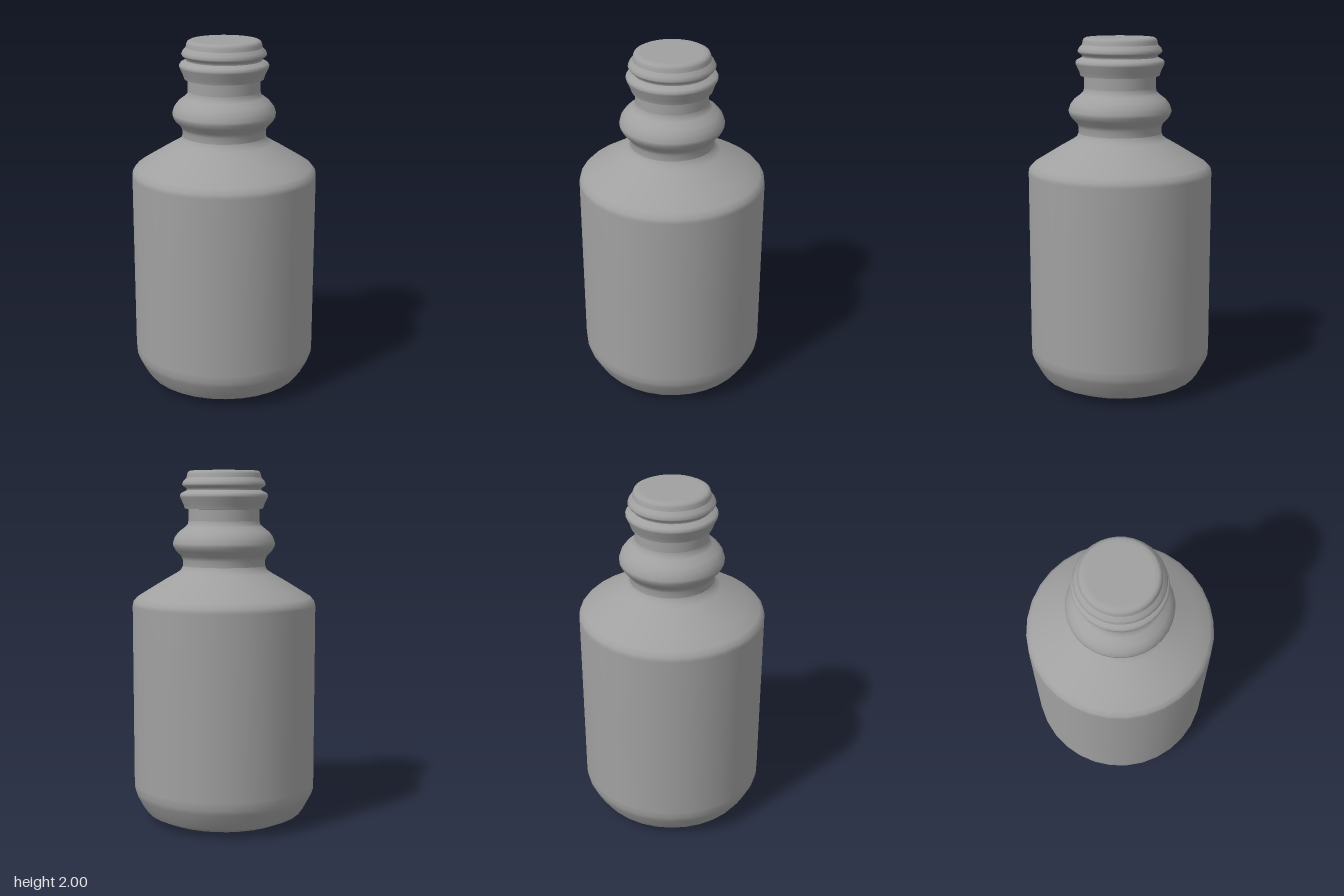
import * as THREE from 'three';

const SIDES = 32;

export function createModel() {
  const group = new THREE.Group();
  const grey = new THREE.MeshStandardMaterial({ color: 0xa0a0a0 });
  grey.name = 'grey';

  // Turn a [radius, height] profile, listed from bottom to top
  const turn = (name, profile) => {
    const points = profile.map(([r, y]) => new THREE.Vector2(r, y));
    const mesh = new THREE.Mesh(new THREE.LatheGeometry(points, SIDES), grey);
    mesh.name = name;
    group.add(mesh);
  };

  // Flat base and its chamfered edge
  turn('base', [[0, 0], [0.26, 0.003], [0.38, 0.013], [0.45, 0.045]]);
  turn('baseEdge', [[0.45, 0.045], [0.475, 0.08], [0.51, 0.145], [0.52, 0.175], [0.522, 0.21]]);

  // Straight wall, rounded into the sloping shoulder
  turn('body', [[0.522, 0.21], [0.522, 0.7], [0.522, 1.24], [0.517, 1.265], [0.495, 1.29], [0.43, 1.33]]);
  turn('shoulder', [[0.43, 1.33], [0.34, 1.385], [0.27, 1.425], [0.245, 1.443], [0.235, 1.465]]);

  // Bulging collar around the lower neck
  turn('collar', [
    [0.235, 1.465], [0.235, 1.5], [0.245, 1.522], [0.275, 1.553], [0.289, 1.578], [0.29, 1.595],
    [0.28, 1.627], [0.257, 1.657], [0.22, 1.685], [0.206, 1.7], [0.202, 1.72],
  ]);
  turn('neck', [[0.202, 1.72], [0.202, 1.785]]);

  // Two rounded ridges under the lip
  turn('ridgeUnderside', [[0.202, 1.785], [0.222, 1.787]]);
  turn('lowerRidge', [[0.222, 1.787], [0.229, 1.81], [0.248, 1.85], [0.25, 1.862], [0.242, 1.875], [0.212, 1.89]]);
  turn('upperRidge', [[0.212, 1.89], [0.212, 1.902], [0.232, 1.913], [0.237, 1.923], [0.23, 1.94], [0.212, 1.96]]);

  // Lip and closed top
  turn('lip', [[0.212, 1.96], [0.208, 1.98], [0.203, 1.992], [0.19, 1.999], [0.17, 2]]);
  turn('top', [[0.17, 2], [0, 2]]);

  return group;
}
